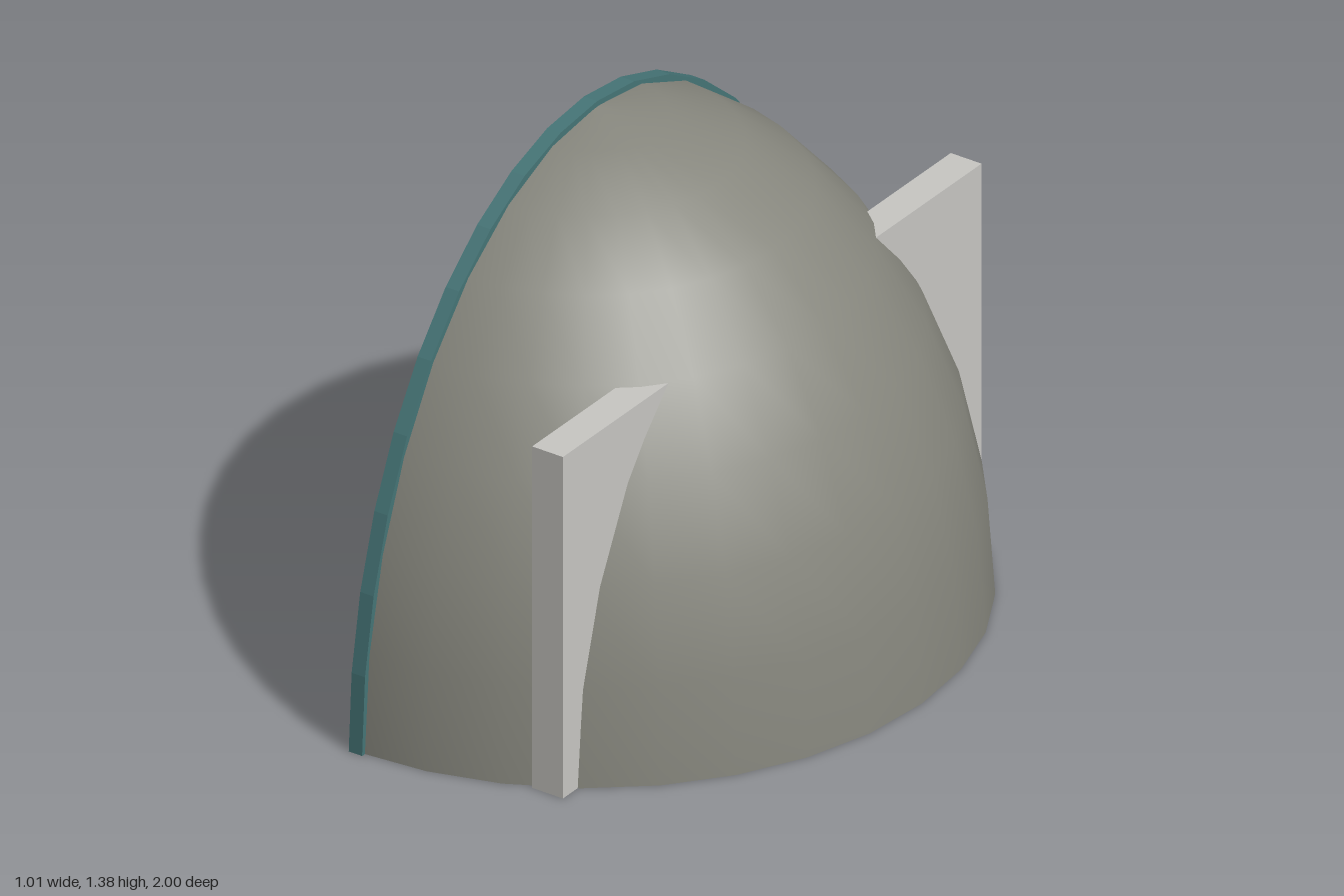
import * as THREE from 'three';

const shellMaterial = new THREE.MeshStandardMaterial({ color: 0x86867d });
shellMaterial.name = 'warm grey';
const wallMaterial = new THREE.MeshStandardMaterial({ color: 0xc8c7c3 });
wallMaterial.name = 'pale concrete';
const archMaterial = new THREE.MeshStandardMaterial({ color: 0x467577 });
archMaterial.name = 'teal';

const CENTER_X = -0.487;
const OUTER = { r: 0.99, h: 1.365 };
const INNER = { r: 0.94, h: 1.315 };

function add(group, name, geometry, material, x = 0, y = 0) {
  const mesh = new THREE.Mesh(geometry, material);
  mesh.name = name;
  mesh.position.set(x, y, 0);
  group.add(mesh);
}

// Quarter-ellipse profile from the ground up to the crown
function quarterEllipse({ r, h }) {
  const points = [];
  for (let i = 0; i <= 8; i++) {
    const a = (i / 8) * Math.PI / 2;
    points.push(new THREE.Vector2(i === 8 ? 0 : r * Math.cos(a), h * Math.sin(a)));
  }
  return points;
}

// Half turn about the vertical axis, bulging toward +x
const halfLathe = (points) => new THREE.LatheGeometry(points, 16, 0, Math.PI);

// Flat elliptical arch extruded in thickness
function archGeometry(outer, inner, thickness) {
  const shape = new THREE.Shape();
  const n = 20;
  for (let i = 0; i <= n; i++) {
    const a = (i / n) * Math.PI;
    const x = outer.r * Math.cos(a), y = outer.h * Math.sin(a);
    if (i === 0) shape.moveTo(x, y);
    else shape.lineTo(x, y);
  }
  for (let i = n; i >= 0; i--) {
    const a = (i / n) * Math.PI;
    shape.lineTo(inner.r * Math.cos(a), inner.h * Math.sin(a));
  }
  const geometry = new THREE.ExtrudeGeometry(shape, { depth: thickness, bevelEnabled: false });
  geometry.translate(0, 0, -thickness / 2);
  geometry.rotateY(Math.PI / 2);
  return geometry;
}

export function createModel() {
  const group = new THREE.Group();
  group.name = 'halfDomeShelter';

  // Half dome: outside, inside and bottom rim
  add(group, 'domeOutside', halfLathe(quarterEllipse(OUTER)), shellMaterial, CENTER_X);
  add(group, 'domeInside', halfLathe(quarterEllipse(INNER).reverse()), wallMaterial, CENTER_X);
  const rim = [new THREE.Vector2(INNER.r, 0), new THREE.Vector2(OUTER.r, 0)];
  add(group, 'domeRim', halfLathe(rim), wallMaterial, CENTER_X);

  // Arch framing the open side
  add(group, 'openingArch',
    archGeometry({ r: 1, h: 1.378 }, { r: 0.92, h: 1.298 }, 0.04), archMaterial, -0.487);

  // Cross wall running through the dome, its ends standing out as fins
  add(group, 'crossWall', new THREE.BoxGeometry(0.092, 0.96, 1.78), wallMaterial, 0.01, 0.48);

  return group;
}
